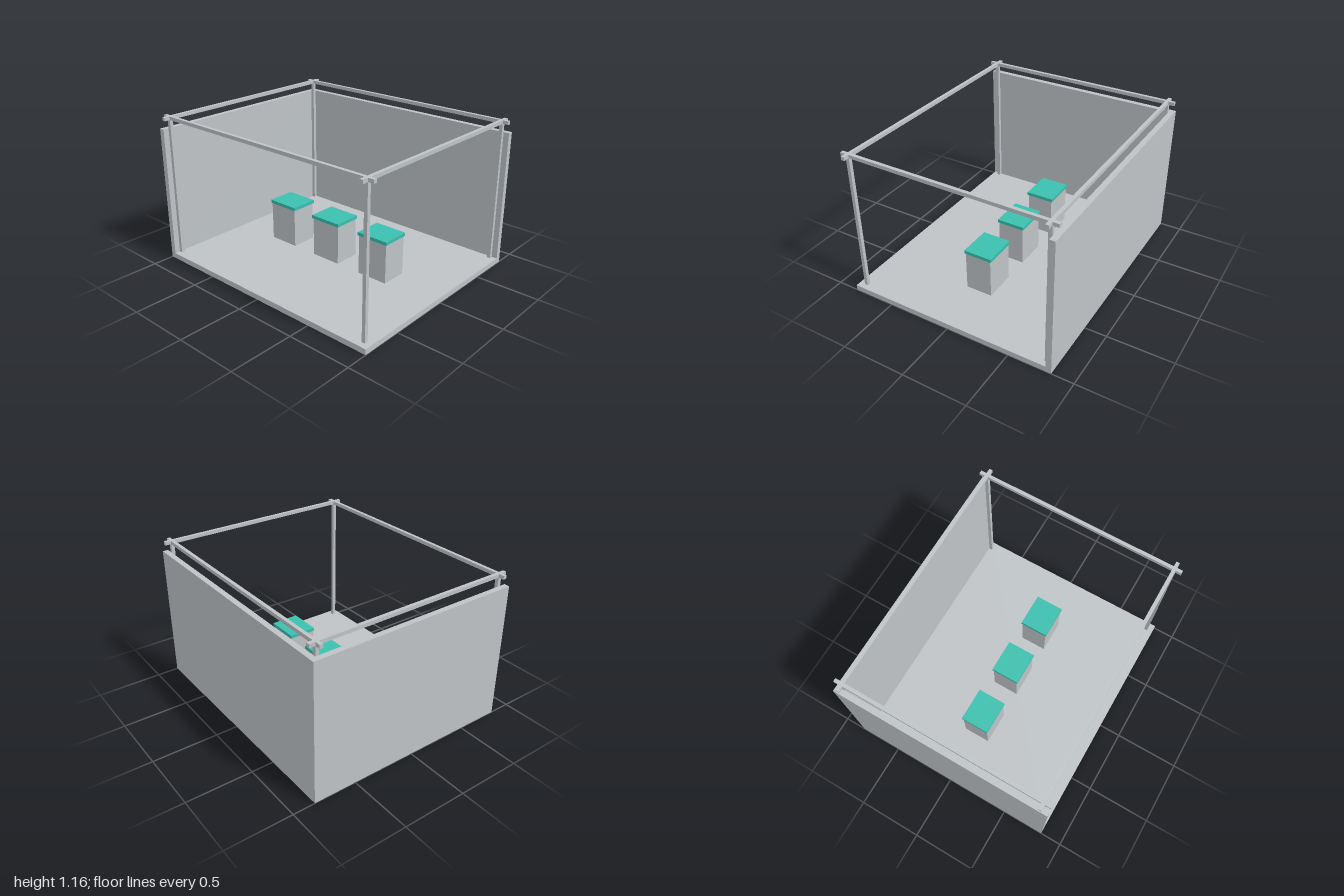
import * as THREE from 'three';

export function createModel() {
  const model = new THREE.Group();
  const grey = new THREE.MeshStandardMaterial({ color: 0xbec3c6 });
  grey.name = 'lightGrey';
  const teal = new THREE.MeshStandardMaterial({ color: 0x3cbfae });
  teal.name = 'teal';

  // Box given by its lower and upper bounds on each axis
  const box = (name, material, [x0, x1], [y0, y1], [z0, z1], parent = model) => {
    const mesh = new THREE.Mesh(new THREE.BoxGeometry(x1 - x0, y1 - y0, z1 - z0), material);
    mesh.position.set((x0 + x1) / 2, (y0 + y1) / 2, (z0 + z1) / 2);
    mesh.name = name;
    parent.add(mesh);
    return mesh;
  };
  const around = (centre, size) => [centre - size / 2, centre + size / 2];

  const W = 1, D = 0.832;        // half width and half depth
  const T = 0.043;               // floor and wall thickness
  const wallTop = 1.069, frameTop = 1.165, bar = 0.027;

  // Floor and the two walls
  box('floor', grey, [-W + T, W], [0, T], [-D + T, D]);
  box('backWall', grey, [-W, W], [0, wallTop], [-D, -D + T]);
  box('sideWall', grey, [-W, -W + T], [0, wallTop], [-D + T, D]);

  // Frame: four posts and four crossing top beams
  const frame = new THREE.Group();
  frame.name = 'frame';
  model.add(frame);
  const postX = W - T - bar / 2, postZ = D - T - bar / 2 - 0.002;
  const beamY = [frameTop - bar, frameTop];
  for (const s of [-1, 1]) {
    box('widthBeam', grey, [-W, W], beamY, around(s * postZ, bar), frame);
    box('depthBeam', grey, around(s * postX, bar), beamY, [-D, D], frame);
    for (const t of [-1, 1]) {
      box('post', grey, around(s * postX, bar), [T, frameTop - bar], around(t * postZ, bar), frame);
    }
  }

  // Three pedestals with overhanging tops
  for (const x of [-0.461, 0, 0.461]) {
    const stand = new THREE.Group();
    stand.name = 'pedestal';
    stand.position.x = x;
    model.add(stand);
    box('pedestalBody', grey, around(0, 0.252), [T, 0.355], around(0, 0.21), stand);
    box('pedestalTop', teal, around(0, 0.266), [0.355, 0.381], around(0, 0.225), stand);
  }

  return model;
}
